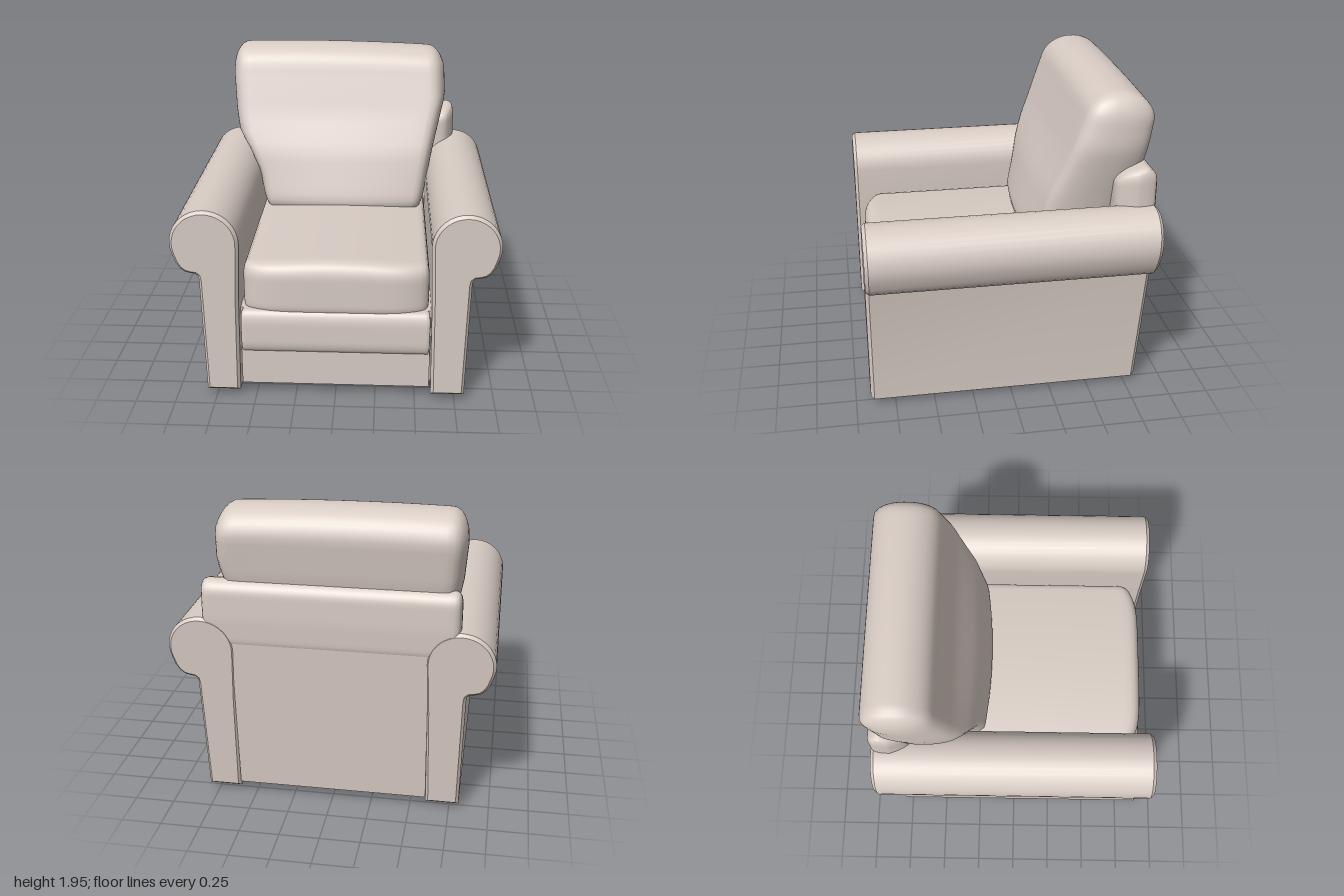
import * as THREE from 'three';
import { mergeVertices, toCreasedNormals } from 'three/addons/utils/BufferGeometryUtils.js';

const upholstery = new THREE.MeshStandardMaterial({ color: 0xd8ccc4 });
upholstery.name = 'beige upholstery';

// Piecewise-linear lookup in [[key, value], ...]
function lookup(table, k) {
  for (let i = 1; i < table.length; i++) {
    const [k0, v0] = table[i - 1], [k1, v1] = table[i];
    if (k <= k1) return THREE.MathUtils.lerp(v0, v1, Math.max(0, (k - k0) / (k1 - k0)));
  }
  return table[table.length - 1][1];
}

// Soft rounded block; radii are per axis, deform moves each finished point
function pillow(size, radii, deform) {
  const n = 28;
  let geo = new THREE.BoxGeometry(2, 2, 2, n, n, n);
  geo.deleteAttribute('uv');
  geo.deleteAttribute('normal');
  const pos = geo.attributes.position, p = new THREE.Vector3(), d = new THREE.Vector3();
  for (let i = 0; i < pos.count; i++) {
    p.fromBufferAttribute(pos, i);
    for (let a = 0; a < 3; a++) {
      const half = size[a] / 2, r = radii[a];
      // rows gather towards the edges
      const v = Math.sin(p.getComponent(a) * Math.PI / 2) * half;
      const inner = THREE.MathUtils.clamp(v, r - half, half - r);
      d.setComponent(a, (v - inner) / r);
      p.setComponent(a, inner);
    }
    if (d.lengthSq() > 0) d.setLength(Math.max(Math.abs(d.x), Math.abs(d.y), Math.abs(d.z)));
    for (let a = 0; a < 3; a++) p.setComponent(a, p.getComponent(a) + d.getComponent(a) * radii[a]);
    if (deform) deform(p);
    pos.setXYZ(i, p.x, p.y, p.z);
  }
  geo = mergeVertices(geo, 1e-5);
  geo.computeVertexNormals();
  return geo;
}

// The rear leans outwards towards the top
const lean = (y) => 0.09 * (1.25 - y) / 1.21;

// Rolled arm: side profile swept front to back; side is +1 or -1
function armGeometry(side) {
  const pts = [[0.6, 0.04], [0.592, 0.7]];
  for (let i = 0; i <= 20; i++) {
    const a = THREE.MathUtils.degToRad(180 - i * 10);
    pts.push([0.79 + 0.21 * Math.cos(a), 1.04 + 0.21 * Math.sin(a)]);
  }
  pts.push([0.969, 0.915], [0.945, 0.877], [0.915, 0.852], [0.88, 0.842], [0.85, 0.838], [0.835, 0.825], [0.83, 0.8], [0.81, 0.04]);
  const shape = new THREE.Shape(pts.map(([x, y]) => new THREE.Vector2(x * side, y)));
  const geo = new THREE.ExtrudeGeometry(shape, {
    depth: 1.77, bevelThickness: 0.022, bevelSize: 0.018, bevelOffset: -0.018, bevelSegments: 1,
  });
  geo.translate(0, 0, -0.885);
  const pos = geo.attributes.position;
  for (let i = 0; i < pos.count; i++) {
    if (pos.getZ(i) < 0) pos.setZ(i, pos.getZ(i) + lean(pos.getY(i)));
  }
  return toCreasedNormals(geo, 0.5);
}

export function createModel() {
  const chair = new THREE.Group();
  chair.name = 'armchair';
  const add = (name, geo, x = 0, y = 0, z = 0) => {
    const mesh = new THREE.Mesh(geo, upholstery);
    mesh.name = name;
    mesh.position.set(x, y, z);
    chair.add(mesh);
  };

  // Arms and feet
  for (const side of [1, -1]) {
    const label = side > 0 ? 'left' : 'right';
    add(label + 'Arm', armGeometry(side));
    for (const [end, z] of [['Front', 0.73], ['Back', -0.67]]) {
      const foot = new THREE.CylinderGeometry(0.072, 0.064, 0.05, 4, 1).toNonIndexed();
      foot.rotateY(Math.PI / 4);
      foot.scale(1, 1, 1.18);
      foot.computeVertexNormals();
      add(label + end + 'Foot', foot, side * 0.705, 0.025, z);
    }
  }

  // Base between the arms
  add('seatBase', new THREE.BoxGeometry(1.19, 0.32, 1.6), 0, 0.42, 0.01);
  add('frontApron', new THREE.BoxGeometry(1.18, 0.24, 0.05), 0, 0.19, 0.83);

  // Footrest cushion
  add('footrest', pillow([1.18, 0.288, 0.3], [0.015, 0.09, 0.045]), 0, 0.436, 0.73);

  // Seat cushion with crowned top and rounded front corners
  add('seatCushion', pillow([1.16, 0.34, 1.5], [0.035, 0.09, 0.08], (p) => {
    if (p.y > 0) p.y += 0.035 * (1 - (p.x / 0.58) ** 2) * (p.y / 0.17);
    if (p.z > 0.4) p.z -= 0.08 * (p.z - 0.4) / 0.35 * (p.x / 0.58) ** 6;
  }), 0, 0.695, 0.11);

  // Leaning rear panel
  const panel = new THREE.BoxGeometry(1.2, 1.2, 0.12);
  panel.translate(0, 0.675, -0.84);
  const pp = panel.attributes.position;
  for (let i = 0; i < pp.count; i++) pp.setZ(i, pp.getZ(i) + lean(pp.getY(i)));
  panel.computeVertexNormals();
  add('rearPanel', panel);

  // Rounded top of the back frame, wider than the panel
  add('backFrameTop', pillow([1.57, 0.47, 0.25], [0.04, 0.09, 0.1], (p) => {
    // front edge rolls off and the ends taper towards it
    if (p.z > -0.06 && p.y > 0) p.y -= 0.3 * (p.z + 0.06) * p.y / 0.235;
    if (p.z > 0) p.x *= 1 - 0.06 * (p.z / 0.125);
    if (p.z < 0) p.z += lean(Math.min(p.y + 1.26, 1.25));
  }), 0, 1.26, -0.78);

  // Back cushion: flares upwards and leans to the rear
  const leftEdge = [[0.82, 0.55], [1.1, 0.6], [1.25, 0.63], [1.4, 0.665], [1.6, 0.71], [1.8, 0.7], [1.95, 0.67]];
  const rightEdge = [[0.82, -0.55], [1.1, -0.61], [1.25, -0.685], [1.36, -0.755], [1.5, -0.78], [1.75, -0.8], [1.95, -0.785]];
  const front = [[0.82, -0.18], [1.25, -0.275], [1.5, -0.37], [1.8, -0.475], [1.95, -0.5]];
  const rear = [[0.82, -0.6], [1.25, -0.78], [1.5, -0.86], [1.78, -0.905], [1.95, -0.88]];
  add('backCushion', pillow([2, 1.15, 2], [0.12, 0.15, 0.95], (p) => {
    const y = p.y + 1.375, u = p.x, w = p.z;
    p.x = THREE.MathUtils.lerp(lookup(rightEdge, y), lookup(leftEdge, y), (u + 1) / 2);
    p.z = THREE.MathUtils.lerp(lookup(rear, y), lookup(front, y), (w + 1) / 2);
    // lower front bulges in the middle
    if (w > 0 && y < 1.5) p.z += 0.05 * w * (1 - u * u) * (1.5 - y) / 0.6;
    // top edge dips towards the ends
    p.y = y - (y > 1.5 ? (y - 1.5) * (0.035 * u * u + 0.02 * u) : 0);
  }));

  return chair;
}
